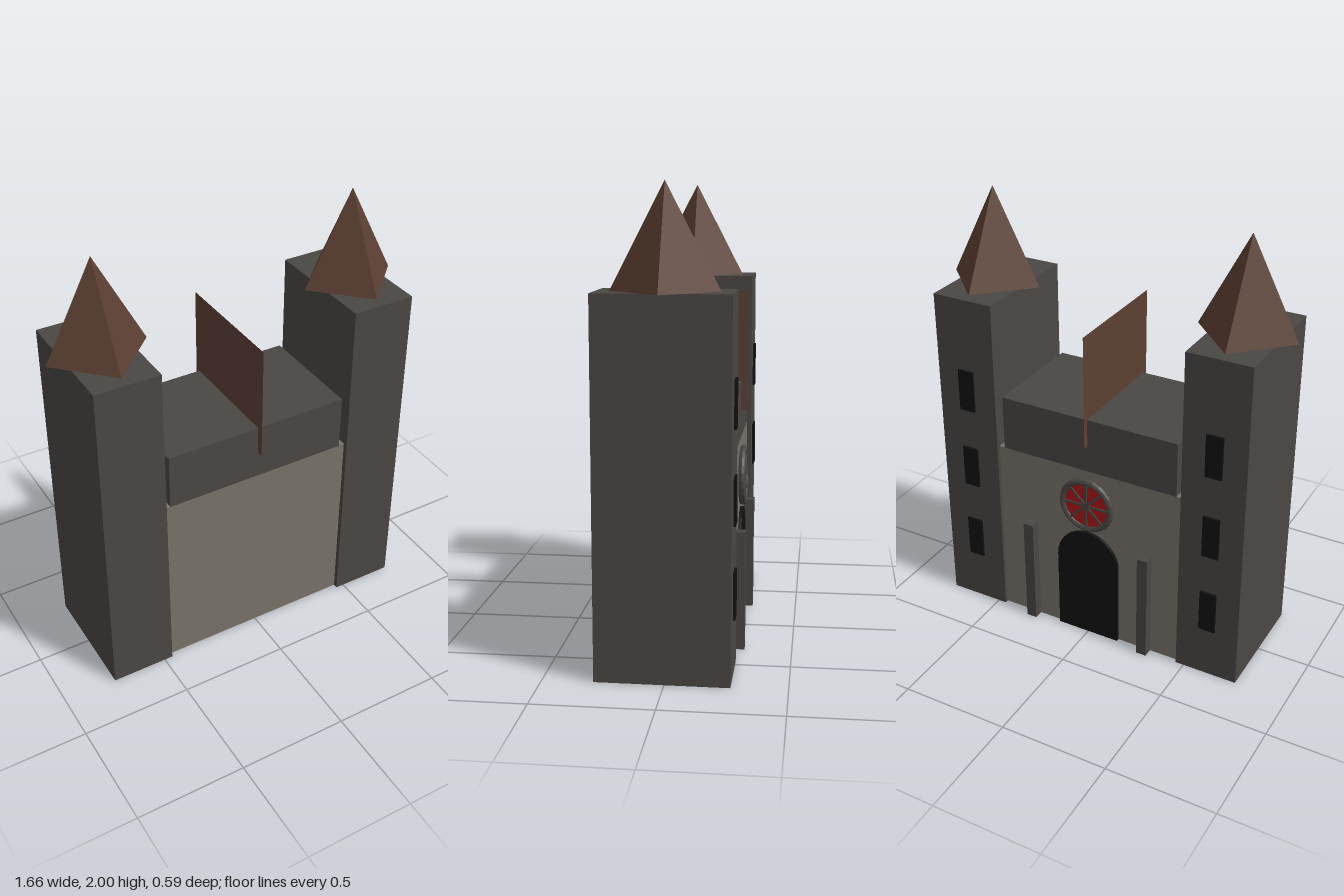
import * as THREE from 'three';

const mat = (color, side = THREE.FrontSide) =>
  new THREE.MeshStandardMaterial({ color, side, flatShading: true });

const MID_Z = 0.01;      // centre line of the building
const BACK_WALL = -0.25; // wall face that carries the portal
const BACK_TOWER = -0.268;

export function createModel() {
  const castle = new THREE.Group();
  castle.name = 'gatehouse';

  const darkStone = mat(0x4a4744);
  const lightStone = mat(0x78736a);
  const roofBrown = mat(0x5c4033);
  const black = mat(0x111111);
  const red = mat(0xa81818);

  const add = (name, geometry, material, x, y, z, parent = castle) => {
    const mesh = new THREE.Mesh(geometry, material);
    mesh.name = name;
    mesh.position.set(x, y, z);
    parent.add(mesh);
    return mesh;
  };
  const box = (w, h, d) => new THREE.BoxGeometry(w, h, d);

  // Main wall and the darker storey on top
  add('mainWall', box(0.93, 0.875, 0.516), lightStone, 0, 0.4375, MID_Z - 0.002);
  add('upperStorey', box(0.866, 0.257, 0.518), darkStone, 0, 1.0025, MID_Z - 0.002);

  // Thin upright roof panel along the depth
  const panel = add('roofPanel', new THREE.PlaneGeometry(0.575, 0.53),
    mat(0x5c4033, THREE.DoubleSide), 0, 1.265, MID_Z);
  panel.rotation.y = Math.PI / 2;

  // Towers with pyramid roofs, windows and the portal pillars
  for (const [side, s] of [['left', 1], ['right', -1]]) {
    const tower = new THREE.Group();
    tower.name = side + 'Tower';
    castle.add(tower);
    add('towerShaft', box(0.294, 1.57, 0.556), darkStone, s * 0.608, 0.785, MID_Z, tower);
    add('towerRoof', new THREE.ConeGeometry(0.223, 0.43, 4), roofBrown,
      s * 0.608, 1.785, MID_Z, tower);
    for (const y of [0.345, 0.735, 1.13])
      add('towerWindow', box(0.077, 0.2, 0.02), black, s * 0.608, y, BACK_TOWER, tower);
    add(side + 'Pillar', box(0.05, 0.523, 0.05), darkStone, s * 0.295, 0.2615, -0.27);
  }

  // Round-arched door
  const arch = new THREE.Shape();
  arch.moveTo(-0.155, 0);
  arch.lineTo(0.155, 0);
  arch.lineTo(0.155, 0.4);
  arch.absarc(0, 0.4, 0.155, 0, Math.PI, false);
  arch.closePath();
  add('archedDoor',
    new THREE.ExtrudeGeometry(arch, { depth: 0.03, bevelEnabled: false, curveSegments: 8 }),
    black, 0, 0, BACK_WALL - 0.015);

  // Rose window: red glass, stone ring and radial bars
  const rose = new THREE.Group();
  rose.name = 'roseWindow';
  rose.position.set(0, 0.705, BACK_WALL - 0.01);
  castle.add(rose);
  const glass = add('glass', new THREE.CylinderGeometry(0.12, 0.12, 0.02, 24), red, 0, 0, 0, rose);
  glass.rotation.x = Math.PI / 2;
  add('ring', new THREE.TorusGeometry(0.12, 0.016, 8, 24), darkStone, 0, 0, -0.004, rose);
  for (let i = 0; i < 4; i++) {
    const bar = add('bar', box(0.24, 0.011, 0.012), darkStone, 0, 0, -0.009, rose);
    bar.rotation.z = (i * Math.PI) / 4;
  }

  return castle;
}
